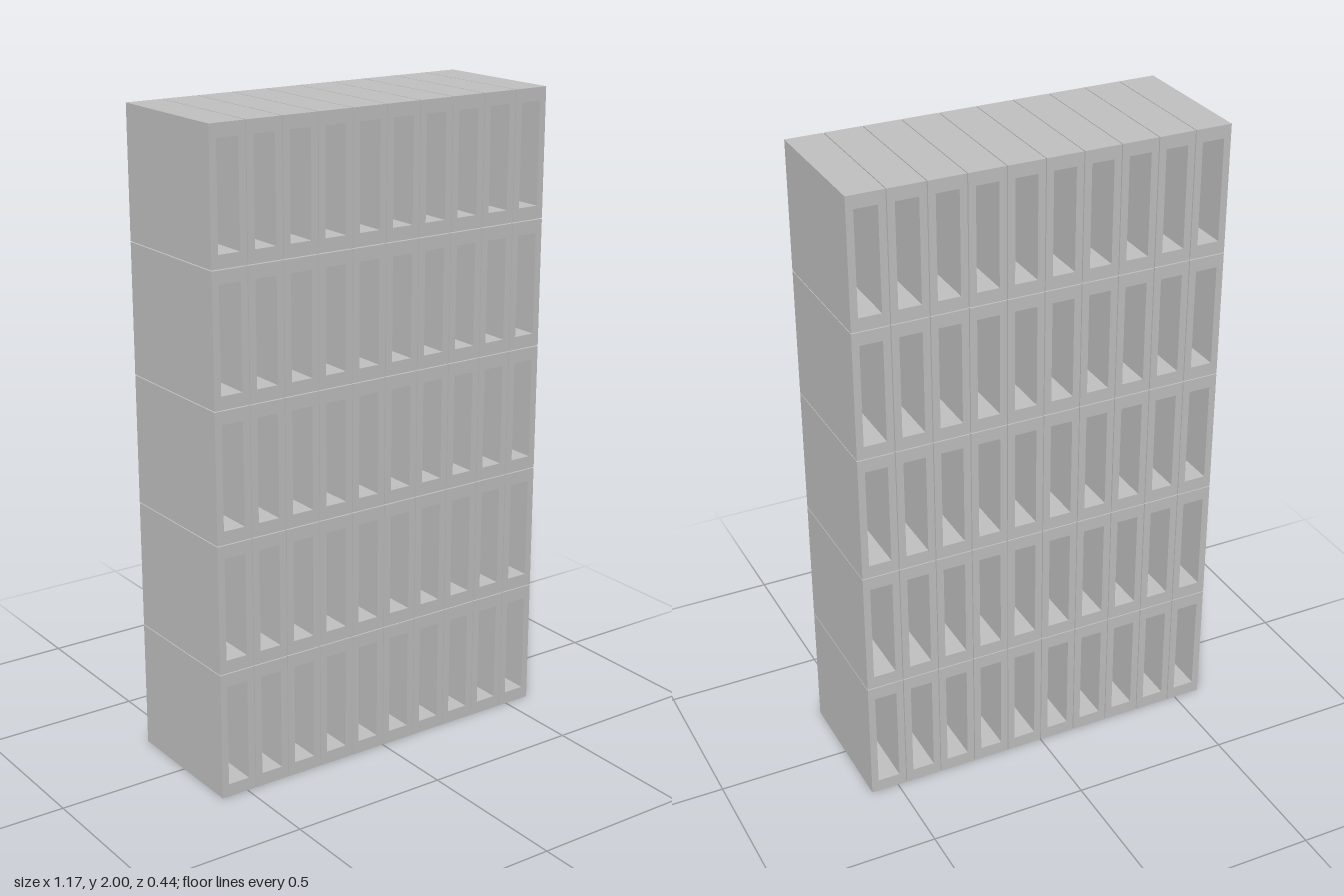
import * as THREE from 'three';

const COLS = 10, ROWS = 5;
const WIDTH = 1.174, HEIGHT = 2, DEPTH = 0.444, GAP = 0.003;
const BLOCK_W = (WIDTH - GAP * (COLS - 1)) / COLS;
const BLOCK_H = (HEIGHT - GAP * (ROWS - 1)) / ROWS;
const HOLE_W = 0.07, HOLE_H = 0.317;

// Rectangle outline centred on the origin
function rectangle(target, w, h) {
  target.moveTo(-w / 2, -h / 2);
  target.lineTo(w / 2, -h / 2);
  target.lineTo(w / 2, h / 2);
  target.lineTo(-w / 2, h / 2);
  target.closePath();
  return target;
}

export function createModel() {
  const model = new THREE.Group();
  model.name = 'hollowBlockWall';

  const concrete = new THREE.MeshStandardMaterial({ color: 0xc0c0c0 });
  concrete.name = 'concrete grey';

  // One hollow block, open from front to back
  const outline = rectangle(new THREE.Shape(), BLOCK_W, BLOCK_H);
  outline.holes.push(rectangle(new THREE.Path(), HOLE_W, HOLE_H));
  const blockGeometry = new THREE.ExtrudeGeometry(outline, { depth: DEPTH, bevelEnabled: false });
  blockGeometry.translate(0, 0, -DEPTH / 2);

  // Stack of blocks with narrow joints
  for (let row = 0; row < ROWS; row++) {
    const course = new THREE.Group();
    course.name = `course${row + 1}`;
    course.position.y = BLOCK_H / 2 + row * (BLOCK_H + GAP);
    for (let col = 0; col < COLS; col++) {
      const block = new THREE.Mesh(blockGeometry, concrete);
      block.name = `hollowBlock${col + 1}`;
      block.position.x = (col - (COLS - 1) / 2) * (BLOCK_W + GAP);
      course.add(block);
    }
    model.add(course);
  }
  return model;
}
